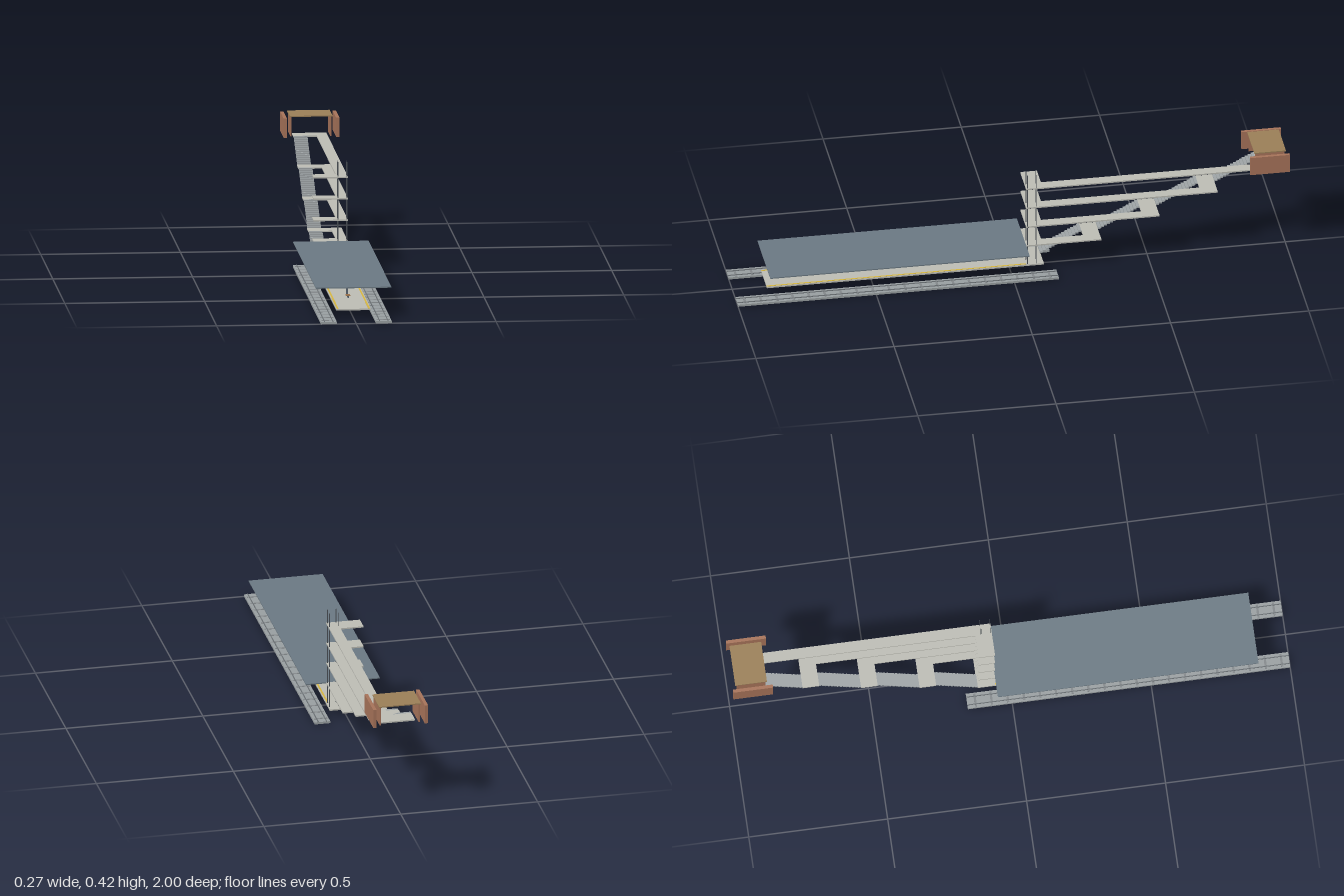
import * as THREE from 'three';

const mat = (color) => new THREE.MeshStandardMaterial({ color });
const M = {
  slab: mat(0xbebeb6), stair: mat(0xa0a6a8), track: mat(0x9aa0a2), sleeper: mat(0x84898c),
  rail: mat(0x6c7276), ceiling: mat(0x6c7a84), post: mat(0x5a6470), rod: mat(0x4a5056),
  yellow: mat(0xd8b840), sign: mat(0x2f8f9f), brick: mat(0xa8745a), roof: mat(0x9c8058), wood: mat(0x9a7048),
};

// Box given by its extents on each axis
function box(parent, name, material, [x0, x1], [y0, y1], [z0, z1]) {
  const m = new THREE.Mesh(new THREE.BoxGeometry(x1 - x0, y1 - y0, z1 - z0), material);
  m.position.set((x0 + x1) / 2, (y0 + y1) / 2, (z0 + z1) / 2);
  m.name = name;
  parent.add(m);
  return m;
}

// U-shaped gallery: front lobby, long passage on the left, rear stair landing
function gallery(parent, top, zBack) {
  const s = new THREE.Shape();
  const pts = [[-0.062, -0.053], [0.061, -0.053], [0.061, zBack], [-0.062, zBack],
    [-0.062, zBack + 0.06], [0.022, zBack + 0.06], [0.022, -0.113], [-0.062, -0.113]];
  s.setFromPoints(pts.map(([x, z]) => new THREE.Vector2(x, -z)));
  const geo = new THREE.ExtrudeGeometry(s, { depth: 0.005, bevelEnabled: false });
  geo.rotateX(-Math.PI / 2);
  const m = new THREE.Mesh(geo, M.slab);
  m.position.y = top - 0.005;
  m.name = 'gallery';
  parent.add(m);
}

// Flight of thin steps climbing towards the back
function flight(parent, y0, y1, z0, z1) {
  const g = new THREE.Group();
  g.name = 'stairFlight';
  const n = 14, dy = (y1 - y0) / n, dz = (z1 - z0) / n;
  for (let i = 0; i < n; i++) {
    const y = y0 + dy * (i + 1), z = z0 + dz * i;
    box(g, 'step', M.stair, [-0.061, -0.012], [y - dy, y], [z + dz, z]);
  }
  parent.add(g);
}

export function createModel() {
  const root = new THREE.Group();
  root.name = 'station';

  // Tracks on both sides: bed, sleepers and rails
  for (const s of [-1, 1]) {
    const t = new THREE.Group();
    t.name = 'track';
    const c = s * 0.0985;
    box(t, 'trackBed', M.track, [c - 0.0285, c + 0.0285], [0, 0.008], [-0.16, 1]);
    for (let i = 0; i < 20; i++) {
      const z = -0.13 + i * 0.058;
      box(t, 'sleeper', M.sleeper, [c - 0.024, c + 0.024], [0.008, 0.009], [z - 0.004, z + 0.004]);
    }
    for (const r of [-0.015, 0.015])
      box(t, 'rail', M.rail, [c + r - 0.0015, c + r + 0.0015], [0.008, 0.0105], [-0.16, 1]);
    root.add(t);
  }

  // Platform with edge strips
  const platform = new THREE.Group();
  platform.name = 'platform';
  box(platform, 'platformSlab', M.slab, [-0.062, 0.062], [0.028, 0.0335], [-0.117, 0.885]);
  for (const s of [-1, 1])
    box(platform, 'edgeStrip', M.yellow, [s * 0.056 - 0.003, s * 0.056 + 0.003], [0.0335, 0.0343], [-0.053, 0.885]);

  // Columns with benches beside them
  for (const z of [0.11, 0.36, 0.61]) {
    box(platform, 'column', M.post, [-0.003, 0.003], [0.0335, 0.108], [z - 0.003, z + 0.003]);
    box(platform, 'benchSeat', M.wood, [-0.008, 0.008], [0.0415, 0.0435], [z + 0.028, z + 0.06]);
    for (const d of [0.034, 0.054])
      box(platform, 'benchLeg', M.post, [-0.003, 0.003], [0.0335, 0.0415], [z + d - 0.001, z + d + 0.001]);
  }

  // Hanging signs
  for (const s of [-1, 1])
    box(platform, 'sign', M.sign, [s * 0.042 - 0.0007, s * 0.042 + 0.0007], [0.086, 0.093], [0.306, 0.37]);
  root.add(platform);

  // Ceiling over platform and tracks
  box(root, 'ceiling', M.ceiling, [-0.135, 0.135], [0.108, 0.112], [-0.053, 0.885]);

  // Galleries and the stairs joining them
  let y = 0.0335, z = -0.115;
  for (let i = 0; i < 4; i++) {
    const top = 0.112 + i * 0.0775, zBack = -0.325 - i * 0.2105;
    gallery(root, top, zBack);
    flight(root, y, top, z, zBack + 0.06);
    y = top;
    z = zBack;
  }

  // Lift shaft corner rods
  const lift = new THREE.Group();
  lift.name = 'liftShaft';
  for (const x of [0.026, 0.058])
    for (const zr of [-0.058, -0.092])
      box(lift, 'liftRod', M.rod, [x - 0.0012, x + 0.0012], [0.0335, 0.397], [zr - 0.0012, zr + 0.0012]);
  root.add(lift);

  // Entrance pavilion at street level
  const entrance = new THREE.Group();
  entrance.name = 'entrance';
  box(entrance, 'entranceRoof', M.roof, [-0.076, 0.076], [0.4165, 0.4205], [-0.99, -0.876]);
  for (const s of [-1, 1]) {
    const span = (a, b) => (s > 0 ? [a, b] : [-b, -a]);
    box(entrance, 'innerWall', M.brick, span(0.069, 0.073), [0.345, 0.4165], [-0.985, -0.88]);
    box(entrance, 'outerWall', M.brick, span(0.088, 0.1), [0.345, 0.415], [-1, -0.857]);
  }
  root.add(entrance);

  return root;
}
